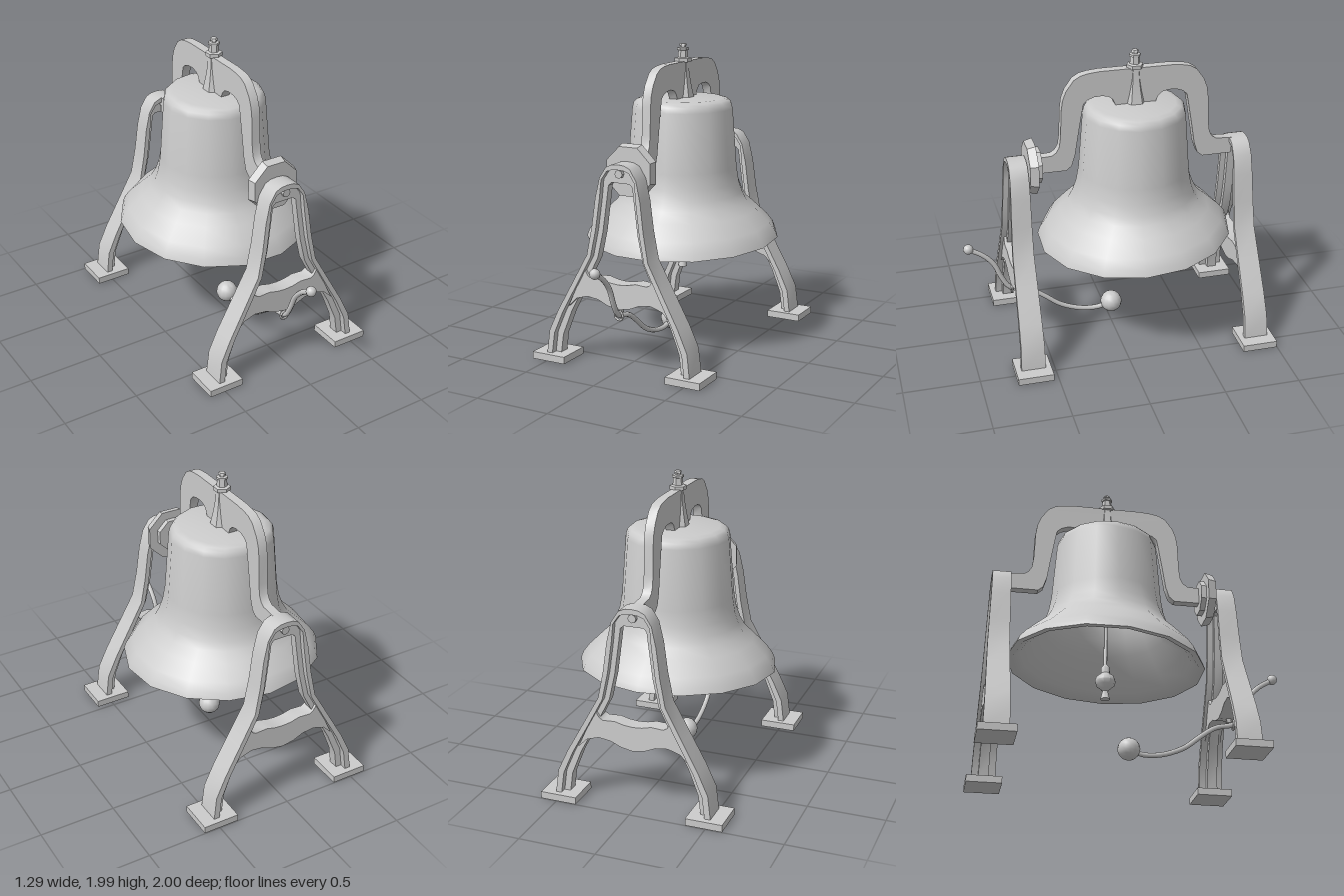
import * as THREE from 'three';
import { toCreasedNormals } from 'three/addons/utils/BufferGeometryUtils.js';

const material = new THREE.MeshStandardMaterial({ color: 0xcccccc });
const BELL_Z = -0.155;
const vectors = (pts) => pts.map(([x, y]) => new THREE.Vector2(x, y));

function add(parent, name, geometry, x = 0, y = 0, z = 0, crease = 0.65) {
  const mesh = new THREE.Mesh(toCreasedNormals(geometry, crease), material);
  mesh.name = name;
  mesh.position.set(x, y, z);
  parent.add(mesh);
  return mesh;
}

// Cylinder lying along z, from z0 to z1
function zCylinder(rFront, rBack, z0, z1, sides, turn = 0) {
  const g = new THREE.CylinderGeometry(rFront, rBack, z1 - z0, sides);
  return g.rotateY(turn).rotateX(Math.PI / 2).translate(0, 0, (z0 + z1) / 2);
}

// Symmetric band between an outer and an inner half profile (each from the end to the centre line)
function bandShape(outer, inner) {
  const mirror = (pts) => pts.filter((p) => p[0] > 0).map(([x, y]) => [-x, y]);
  return new THREE.Shape(vectors([
    ...outer, ...mirror(outer).reverse(), ...mirror(inner), ...[...inner].reverse(),
  ]));
}

// A-frame stand: inner face on z = 0, outer face leaning out to +z
const LEG_OUTER = [[0.52, 0.04], [0.5, 0.2], [0.435, 0.34], [0.33, 0.53], [0.22, 0.73], [0.185, 0.91],
  [0.16, 1.1], [0.13, 1.23], [0.085, 1.3], [0.045, 1.318], [0, 1.322]];
const LEG_INNER = [[0.44, 0.04], [0.423, 0.17], [0.36, 0.33], [0.243, 0.55], [0.163, 0.71], [0.125, 0.88],
  [0.095, 1.1], [0.085, 1.18], [0.065, 1.2], [0.035, 1.2], [0, 1.2]];
const LEG_MIDDLE = LEG_OUTER.map(([x, y], i) => {
  const f = i < 7 ? 0.48 : 0.27;
  return [x + (LEG_INNER[i][0] - x) * f, y + (LEG_INNER[i][1] - y) * f];
});
const BRACE_TOP = [[0.25, 0.63], [0.225, 0.59], [0.2, 0.575], [0.12, 0.58], [0.06, 0.565], [0, 0.56]];
const BRACE_BOTTOM = [[0.37, 0.37], [0.31, 0.43], [0.23, 0.455], [0.15, 0.445], [0.08, 0.415], [0, 0.4]];

function standSlab(shape, from, to) {
  const g = new THREE.ExtrudeGeometry(shape, { depth: 1, bevelEnabled: false });
  const p = g.attributes.position;
  for (let i = 0; i < p.count; i++) {
    const depth = 0.12 + 0.04 * (1.32 - p.getY(i)) / 1.28;
    p.setZ(i, depth * (from + (to - from) * p.getZ(i)));
  }
  return g;
}

function makeStand(name) {
  const stand = new THREE.Group();
  stand.name = name;
  add(stand, 'legStrap', standSlab(bandShape(LEG_OUTER, LEG_MIDDLE), 0, 1));
  add(stand, 'legRib', standSlab(bandShape(LEG_MIDDLE, LEG_INNER), 0.3, 0.72));
  add(stand, 'crossBrace', standSlab(bandShape(BRACE_TOP, BRACE_BOTTOM), 0.15, 0.85));
  add(stand, 'axlePin', zCylinder(0.027, 0.027, -0.06, 0.112, 8), 0, 1.26, 0);
  for (const side of [-1, 1]) {
    add(stand, side > 0 ? 'leftFoot' : 'rightFoot',
      new THREE.BoxGeometry(0.24, 0.046, 0.234), side * 0.488, 0.023, 0.08);
  }
  return stand;
}

function makeBell() {
  // Hollow wall: down the inside, round the lip, up the outside
  const profile = [[0, 1.59], [0.26, 1.58], [0.29, 1.54], [0.325, 1.17], [0.35, 1.05], [0.4, 0.95],
    [0.5, 0.82], [0.56, 0.75], [0.61, 0.707], [0.647, 0.707], [0.63, 0.75], [0.59, 0.805], [0.5, 0.895],
    [0.437, 0.955], [0.407, 1.01], [0.382, 1.08], [0.365, 1.18], [0.335, 1.57], [0.325, 1.605],
    [0.305, 1.625], [0.27, 1.635], [0, 1.64]];
  const g = new THREE.LatheGeometry(vectors(profile), 15, Math.PI - 0.035);
  // The mouth tips down slightly towards the front
  const p = g.attributes.position;
  for (let i = 0; i < p.count; i++) {
    const low = THREE.MathUtils.clamp((1.1 - p.getY(i)) / 0.39, 0, 1);
    p.setY(i, p.getY(i) - 0.051 * low * p.getZ(i));
  }
  return g;
}

function makeYoke() {
  const outer = [[0.66, 1.32], [0.555, 1.325], [0.525, 1.345], [0.505, 1.38], [0.495, 1.45], [0.488, 1.63],
    [0.478, 1.7], [0.455, 1.76], [0.405, 1.83], [0.36, 1.857], [0.31, 1.868], [0.235, 1.875], [0, 1.875]];
  const inner = [[0.66, 1.21], [0.46, 1.21], [0.425, 1.24], [0.402, 1.31], [0.38, 1.45], [0.353, 1.61],
    [0.342, 1.665], [0.315, 1.69], [0.273, 1.705], [0.22, 1.708], [0.176, 1.698], [0.15, 1.675],
    [0.13, 1.63], [0, 1.62]];
  const g = new THREE.ExtrudeGeometry(bandShape(outer, inner), { depth: 0.06, bevelEnabled: false });
  return g.translate(0, 0, -0.03).rotateY(-Math.PI / 2);
}

export function createModel() {
  const model = new THREE.Group();
  model.name = 'bellOnStand';

  // Two stands, back to back
  const front = makeStand('frontStand');
  front.position.z = 0.57;
  const back = makeStand('backStand');
  back.position.z = -0.8;
  back.rotation.y = Math.PI;
  model.add(front, back);

  // Bell, yoke and finial
  add(model, 'bell', makeBell(), 0, 0, BELL_Z, 0.8);
  add(model, 'yoke', makeYoke(), 0, 0, BELL_Z);
  const finial = [[0, 1.63], [0.075, 1.63], [0.07, 1.65], [0.055, 1.72], [0.042, 1.8], [0.037, 1.868],
    [0.055, 1.87], [0.055, 1.895], [0.034, 1.9], [0.03, 1.945], [0.038, 1.948], [0.038, 1.962],
    [0.02, 1.965], [0.02, 1.975], [0.026, 1.978], [0.02, 1.99], [0, 1.992]];
  add(model, 'finial', new THREE.LatheGeometry(vectors(finial), 6), 0, 0, BELL_Z, 0.5);

  // Clapper: rod, ball and flared tail
  const clapper = [[0, 0.475], [0.032, 0.48], [0.018, 0.535], [0.03, 0.55], [0.06, 0.575], [0.068, 0.605],
    [0.058, 0.635], [0.03, 0.658], [0.028, 0.7], [0.012, 0.72], [0.012, 1.6]];
  add(model, 'clapper', new THREE.LatheGeometry(vectors(clapper), 10), 0, 0, BELL_Z, 0.8);

  // Octagonal wheel on the front axle
  const wheel = new THREE.Group();
  wheel.name = 'axleWheel';
  add(wheel, 'wheelRim', zCylinder(0.168, 0.183, 0.51, 0.565, 8, Math.PI / 8), 0, 1.255);
  add(wheel, 'wheelHub', zCylinder(0.118, 0.118, 0.475, 0.512, 8, Math.PI / 8), 0, 1.26);
  model.add(wheel);

  // Curved pull lever with a knob and a counterweight
  const lever = new THREE.Group();
  lever.name = 'pullLever';
  const path = [[0.97, 0.7], [0.87, 0.638], [0.8, 0.56], [0.755, 0.455], [0.7, 0.37], [0.57, 0.335],
    [0.465, 0.265], [0.36, 0.185], [0.22, 0.13], [0.1, 0.12], [0.02, 0.14]];
  const curve = new THREE.CatmullRomCurve3(path.map(([z, y]) => new THREE.Vector3(0, y, z)));
  add(lever, 'leverArm', new THREE.TubeGeometry(curve, 32, 0.017, 8), 0, 0, 0, 1);
  add(lever, 'leverKnob', new THREE.SphereGeometry(0.034, 12, 8), 0, 0.7, 0.967);
  add(lever, 'counterweight', new THREE.SphereGeometry(0.073, 14, 10), 0, 0.153, 0);
  add(lever, 'leverRing', new THREE.TorusGeometry(0.028, 0.008, 6, 14), 0, 0.36, 0.69, 1.1);
  add(lever, 'leverHanger', new THREE.BoxGeometry(0.02, 0.05, 0.03), 0, 0.4, 0.66);
  model.add(lever);

  return model;
}
